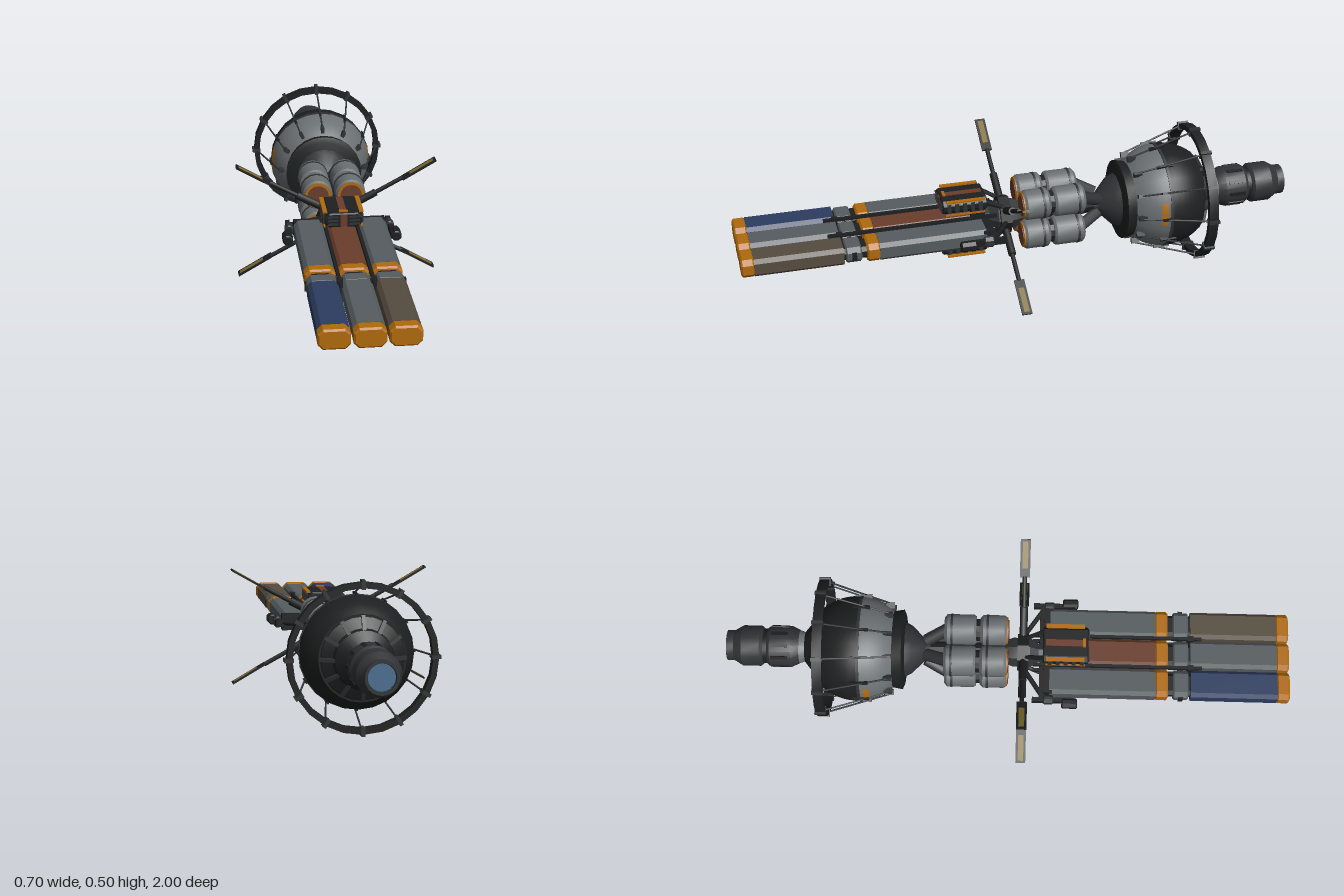
import * as THREE from 'three';
import { toCreasedNormals } from 'three/addons/utils/BufferGeometryUtils.js';

const paint = (name, color) => Object.assign(new THREE.MeshStandardMaterial({ color }), { name });
const M = {
  hull: paint('hull grey', 0x6b7072),
  grey: paint('container grey', 0x555c5f),
  dark: paint('near black', 0x1e1f20),
  steel: paint('dark steel', 0x303335),
  orange: paint('safety orange', 0xb06a0c),
  red: paint('rust red', 0x6a3d2c),
  blue: paint('navy blue', 0x2c3d60),
  tan: paint('tan', 0x564c40),
  yellow: paint('dull yellow', 0x7d6a2e),
  glass: paint('engine blue', 0x4a6d90),
};

function add(parent, name, geo, mat, x = 0, y = 0, z = 0) {
  const m = new THREE.Mesh(geo, mat);
  m.name = name;
  m.position.set(x, y, z);
  parent.add(m);
  return m;
}
const box = (p, name, mat, w, h, d, x, y, z) => add(p, name, new THREE.BoxGeometry(w, h, d), mat, x, y, z);

// Solid of revolution about z; points are [radius, z] with z rising
function turned(p, name, mat, pts, sides = 24, x = 0, y = 0) {
  const g = new THREE.LatheGeometry(pts.map(a => new THREE.Vector2(a[0], a[1])), sides).rotateX(Math.PI / 2);
  return add(p, name, toCreasedNormals(g, 0.5), mat, x, y);
}

// Round bar between two points
function bar(p, name, mat, a, b, r, sides = 6) {
  const A = new THREE.Vector3(...a), B = new THREE.Vector3(...b), d = B.clone().sub(A);
  const m = add(p, name, new THREE.CylinderGeometry(r, r, d.length(), sides), mat);
  m.position.copy(A).add(B).multiplyScalar(0.5);
  m.quaternion.setFromUnitVectors(new THREE.Vector3(0, 1, 0), d.normalize());
  return m;
}

// Bar with chamfered corners running from z0 to z1
function prism(p, name, mat, w, h, z0, z1, x, y = 0, bevel = 0, c = 0.013) {
  const a = w / 2 - bevel, b = h / 2 - bevel, s = new THREE.Shape();
  [[a, c - b], [a, b - c], [a - c, b], [c - a, b], [-a, b - c], [-a, c - b], [c - a, -b], [a - c, -b]]
    .forEach(([u, v], i) => (i ? s.lineTo(u, v) : s.moveTo(u, v)));
  const g = new THREE.ExtrudeGeometry(s, {
    depth: z1 - z0 - 2 * bevel, bevelEnabled: bevel > 0, bevelSize: bevel, bevelThickness: bevel, bevelSegments: 1,
  });
  return add(p, name, g, mat, x, y, z0 + bevel);
}

function cargo(root) {
  const g = new THREE.Group();
  g.name = 'cargo';
  root.add(g);
  const rows = [[0.15, 0.57, [M.grey, M.red, M.grey]], [0.65, 1, [M.blue, M.grey, M.tan]]];
  for (const [z0, z1, mats] of rows) mats.forEach((mat, i) => {
    const x = (i - 1) * 0.11;
    prism(g, 'container', mat, 0.1, 0.066, z0, z1 - 0.044, x);
    prism(g, 'containerCap', M.orange, 0.102, 0.068, z1 - 0.046, z1, x, 0, 0.006);
  });
  for (const x of [-0.11, 0, 0.11]) {
    prism(g, 'couplingBlock', M.grey, 0.1, 0.058, 0.588, 0.643, x, 0, 0.005);
    prism(g, 'couplingCore', M.dark, 0.08, 0.044, 0.56, 0.66, x);
    box(g, 'rearSocket', M.dark, 0.1, 0.06, 0.03, x, 0, 0.145);
  }
  for (const x of [-0.055, 0.055]) {
    for (const y of [-0.03, 0.03]) box(g, 'rail', M.dark, 0.011, 0.012, 0.6, x, y, 0.39);
    box(g, 'railClamp', M.dark, 0.02, 0.076, 0.02, x, 0, 0.65);
  }
  box(g, 'crossBeam', M.dark, 0.33, 0.03, 0.016, 0, 0, 0.615);
}

function equipmentPack(root, s) {
  // Built above the cargo, turned over for the lower copy
  const g = new THREE.Group();
  g.name = s > 0 ? 'upperPack' : 'lowerPack';
  if (s < 0) g.rotation.z = Math.PI;
  root.add(g);
  prism(g, 'packBody', M.dark, 0.13, 0.05, 0.125, 0.285, 0, 0.083, 0.004);
  box(g, 'packStripe', M.red, 0.024, 0.044, 0.008, 0, 0.083, 0.284);
  box(g, 'packTopStripe', M.red, 0.024, 0.006, 0.14, 0, 0.107, 0.205);
  box(g, 'packMarker', M.orange, 0.03, 0.006, 0.01, 0, 0.112, 0.27);
  for (const x of [-1, 1]) {
    box(g, 'packStrip', M.orange, 0.015, 0.006, 0.135, x * 0.062, 0.108, 0.203);
    box(g, 'packEdge', M.orange, 0.006, 0.005, 0.14, x * 0.064, 0.058, 0.205);
    for (let i = 0; i < 5; i++) box(g, 'slat', M.steel, 0.006, 0.032, 0.014, x * 0.066, 0.083, 0.15 + i * 0.028);
    for (let i = 0; i < 3; i++) box(g, 'grille', M.steel, 0.036, 0.006, 0.006, x * 0.037, 0.07 + i * 0.013, 0.286);
    box(g, 'packLeg', M.dark, 0.014, 0.035, 0.05, x * 0.055, 0.045, 0.16);
    bar(g, 'packBrace', M.dark, [x * 0.05, 0.085, 0.13], [x * 0.03, 0.035, 0.04], 0.008);
  }
}

function hub(root) {
  const g = new THREE.Group();
  g.name = 'hub';
  root.add(g);
  turned(g, 'hubCore', M.steel, [[0, -0.02], [0.04, -0.02], [0.055, 0.02], [0.055, 0.08], [0.035, 0.11], [0.035, 0.14], [0, 0.14]], 8);
  turned(g, 'hubCollar', M.dark, [[0, 0.035], [0.07, 0.035], [0.07, 0.075], [0, 0.075]], 8);
  box(g, 'shoulderBeam', M.dark, 0.36, 0.026, 0.022, 0, 0, 0.125);
  for (const s of [-1, 1]) {
    // Side clamps
    box(g, 'clampArm', M.dark, 0.016, 0.022, 0.15, s * 0.178, 0, 0.165);
    prism(g, 'clampPod', M.dark, 0.034, 0.036, 0.195, 0.25, s * 0.188, 0, 0.004, 0.008);
    prism(g, 'clampBase', M.steel, 0.03, 0.04, 0.13, 0.165, s * 0.176, 0, 0.004, 0.008);
    bar(g, 'clampBrace', M.dark, [s * 0.05, 0, 0.05], [s * 0.17, 0, 0.13], 0.009);
    // Antenna arms with flat paddles
    for (const t of [-1, 1]) {
      bar(g, 'antennaArm', M.dark, [s * 0.04, t * 0.035, 0.055], [s * 0.14, t * 0.088, 0.055], 0.014, 8);
      bar(g, 'antennaForearm', M.dark, [s * 0.13, t * 0.083, 0.055], [s * 0.235, t * 0.14, 0.055], 0.008, 8);
      const p = new THREE.Group();
      p.name = 'antennaPaddle';
      p.position.set(s * 0.292, t * 0.171, 0.055);
      p.rotation.z = s * t * 0.525;
      box(p, 'paddleFrame', M.dark, 0.136, 0.006, 0.036, 0, 0, 0);
      box(p, 'paddlePanel', M.yellow, 0.095, 0.008, 0.02, s * 0.012, 0, 0);
      g.add(p);
    }
  }
}

function tanks(root) {
  const g = new THREE.Group();
  g.name = 'tanks';
  root.add(g);
  turned(g, 'spine', M.dark, [[0, -0.32], [0.032, -0.32], [0.032, 0], [0, 0]], 12);
  for (const x of [-0.059, 0.059]) for (const y of [-0.059, 0.059]) {
    for (const [a, b] of [[-0.098, -0.004], [-0.225, -0.112]]) {
      turned(g, 'tank', M.hull, [[0, a], [0.043, a], [0.054, a + 0.01], [0.054, b - 0.008], [0.048, b], [0, b]], 16, x, y);
      turned(g, 'tankBand', M.steel, [[0.052, a + 0.022], [0.056, a + 0.022], [0.056, a + 0.03], [0.052, a + 0.03]], 16, x, y);
    }
    turned(g, 'tankLink', M.dark, [[0, -0.12], [0.04, -0.12], [0.04, -0.09], [0, -0.09]], 12, x, y);
    turned(g, 'tankRim', M.orange, [[0, -0.006], [0.047, -0.006], [0.047, 0.001], [0, 0.001]], 16, x, y);
    turned(g, 'tankEnd', M.red, [[0, 0], [0.038, 0], [0.038, 0.004], [0, 0.004]], 16, x, y);
    bar(g, 'tankStrut', M.steel, [x, y, -0.215], [x * 0.45, y * 0.45, -0.29], 0.022, 8);
  }
}

function sphereAndRing(root) {
  const g = new THREE.Group();
  g.name = 'sphereModule';
  root.add(g);
  const C = -0.535, R = 0.188;
  const arc = (a, b, r = R) => Array.from({ length: 8 }, (_, i) => {
    const t = a + (b - a) * i / 7;
    return [r * Math.cos(t), C + r * Math.sin(t)];
  });
  turned(g, 'frontShell', M.hull, arc(0.08, 0.78));
  turned(g, 'rearShell', M.dark, [[0, -0.655], ...arc(-0.7, 0.08)]);
  turned(g, 'seam', M.steel, [[0.182, -0.526], [0.19, -0.526], [0.19, -0.516], [0.182, -0.516]]);
  turned(g, 'frontFlange', M.dark, [[0, -0.41], [0.136, -0.41], [0.143, -0.372], [0.125, -0.365], [0, -0.36]]);
  turned(g, 'frontCone', M.steel, [[0, -0.37], [0.1, -0.37], [0.085, -0.34], [0.036, -0.292], [0.036, -0.275], [0, -0.275]], 16);
  turned(g, 'rearDome', M.dark, [[0, -0.722], [0.055, -0.722], [0.095, -0.69], [0.1, -0.675], [0.135, -0.66], [0.144, -0.645], [0, -0.645]]);

  // Orange hatch marks on the flanks
  for (const s of [0, Math.PI]) for (const y of [-0.06, 0.17]) {
    const patch = new THREE.SphereGeometry(R + 0.002, 3, 3, s + Math.PI - 0.28, 0.12, Math.PI / 2 - y - 0.15, 0.22);
    if (s) patch.rotateY(0.44);
    add(g, 'hatchMark', patch, M.orange, 0, 0, C);
  }

  // Ring, held by twelve raked struts
  turned(g, 'ring', M.dark, [[0.227, -0.672], [0.246, -0.672], [0.246, -0.638], [0.227, -0.638], [0.227, -0.672]]);
  for (let i = 0; i < 12; i++) {
    const q = new THREE.Group();
    q.name = 'ringSupport';
    q.rotation.z = i * Math.PI / 6;
    g.add(q);
    bar(q, 'strut', M.steel, [0.237, 0, -0.645], [0.163, 0, -0.415], 0.0032);
    box(q, 'ringBracket', M.steel, 0.03, 0.012, 0.04, 0.2375, 0, -0.655);
    box(q, 'sphereBracket', M.steel, 0.02, 0.012, 0.03, 0.157, 0, -0.42);
    box(q, 'seamClip', M.dark, 0.012, 0.008, 0.06, 0.188, 0, -0.515);
    const fin = box(q, 'rearFin', M.steel, 0.05, 0.012, 0.016, 0.115, 0, -0.672);
    fin.rotation.y = -0.45;
  }
}

function engine(root) {
  const g = new THREE.Group();
  g.name = 'engine';
  root.add(g);
  turned(g, 'neck', M.hull, [[0, -0.75], [0.062, -0.75], [0.05, -0.715], [0, -0.715]], 16);
  turned(g, 'engineFront', M.steel, [[0, -0.855], [0.066, -0.855], [0.073, -0.845], [0.073, -0.77], [0.06, -0.742], [0, -0.742]], 20);
  turned(g, 'engineWaist', M.dark, [[0, -0.885], [0.062, -0.885], [0.062, -0.845], [0, -0.845]], 20);
  turned(g, 'engineRear', M.steel, [[0.042, -0.985], [0.045, -1], [0.054, -1], [0.054, -0.975], [0.072, -0.945], [0.072, -0.88], [0.064, -0.87], [0, -0.87]], 20);
  turned(g, 'engineGlow', M.glass, [[0, -0.99], [0.046, -0.99], [0.046, -0.98], [0, -0.98]], 20);
  for (let i = 0; i < 10; i++) {
    const a = i * Math.PI / 5;
    const rib = box(g, 'engineRib', M.dark, 0.008, 0.012, 0.06, Math.cos(a) * 0.072, Math.sin(a) * 0.072, -0.81);
    rib.rotation.z = a;
  }
}

export function createModel() {
  const model = new THREE.Group();
  model.name = 'cargoSpaceship';
  const axis = new THREE.Group();
  axis.name = 'ship';
  axis.position.y = 0.2525;
  model.add(axis);
  cargo(axis);
  equipmentPack(axis, 1);
  equipmentPack(axis, -1);
  hub(axis);
  tanks(axis);
  sphereAndRing(axis);
  engine(axis);
  return model;
}
